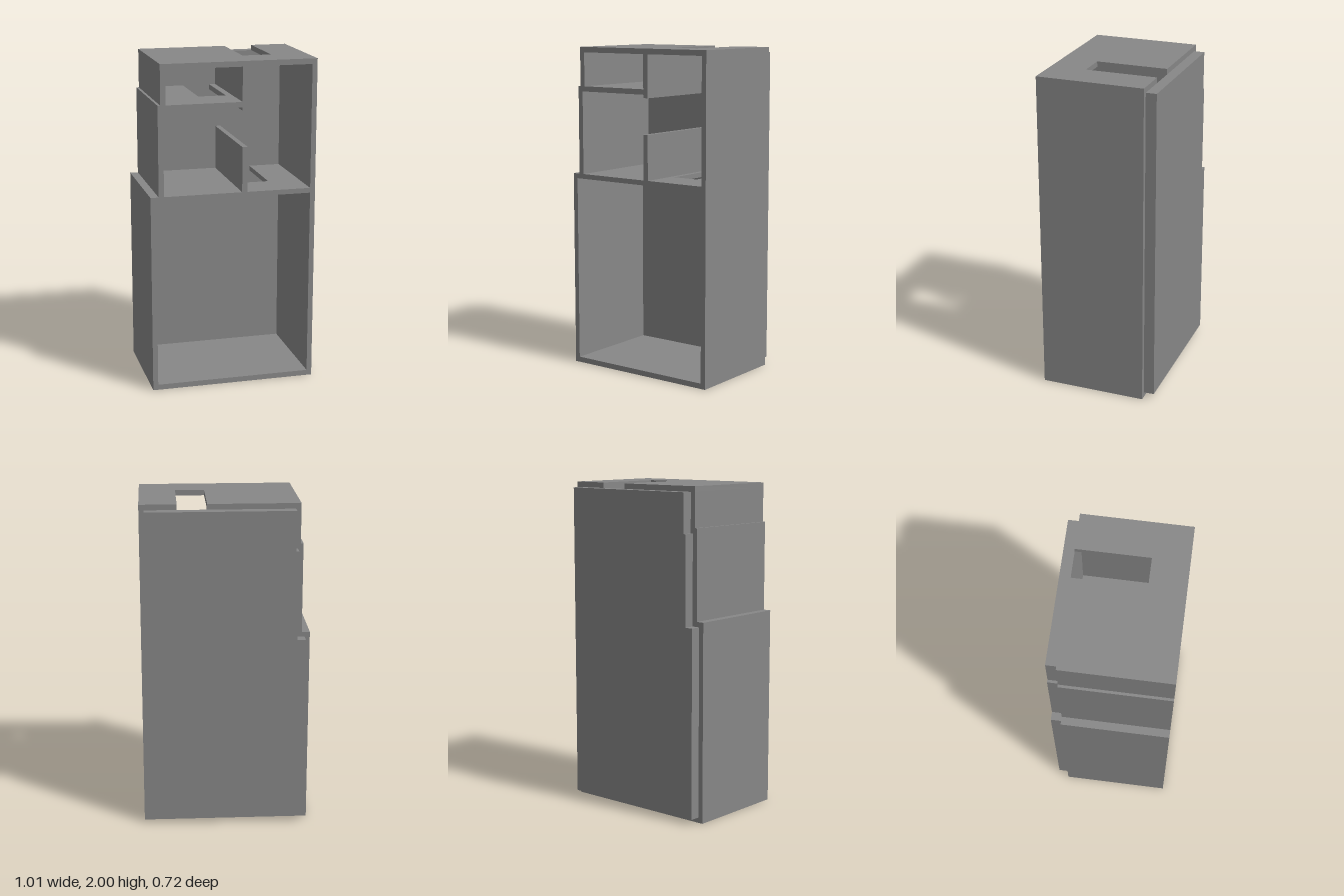
import * as THREE from 'three';

const material = new THREE.MeshStandardMaterial({ color: 0x878787, flatShading: true });
const FRONT = 0.36, REAR = -0.295, BACK = -0.36;

export function createModel() {
  const group = new THREE.Group();
  group.name = 'cabinet';

  const add = (name, geometry) => {
    const mesh = new THREE.Mesh(geometry, material);
    mesh.name = name;
    group.add(mesh);
    return mesh;
  };

  // Upright board running the full depth of the body
  const board = (name, x0, x1, y0, y1) =>
    add(name, new THREE.BoxGeometry(x1 - x0, y1 - y0, FRONT - REAR))
      .position.set((x0 + x1) / 2, (y0 + y1) / 2, (FRONT + REAR) / 2);

  const extrude = (points, depth) =>
    new THREE.ExtrudeGeometry(new THREE.Shape(points.map(([x, y]) => new THREE.Vector2(x, y))),
      { depth, bevelEnabled: false });

  // Horizontal board with a slot cut in from its rear edge
  const slottedBoard = (name, x0, x1, y0, y1, slotLeft, slotRight, slotFront) => {
    const geometry = extrude([
      [x0, -FRONT], [x1, -FRONT], [x1, -REAR], [slotRight, -REAR],
      [slotRight, -slotFront], [slotLeft, -slotFront], [slotLeft, -REAR], [x0, -REAR],
    ], y1 - y0);
    geometry.rotateX(-Math.PI / 2);
    add(name, geometry).position.y = y0;
  };

  // Outer walls, stepping inward on the right-hand side
  board('base', -0.507, 0.507, 0, 0.033);
  board('leftWallLower', 0.476, 0.507, 0.033, 1.185);
  board('leftWallUpper', 0.476, 0.507, 1.215, 1.967);
  board('rightWallLower', -0.507, -0.476, 0.033, 1.185);
  board('rightWallMiddle', -0.458, -0.426, 1.215, 1.728);
  board('rightWallUpper', -0.442, -0.41, 1.76, 1.967);

  // Top and shelves
  slottedBoard('top', -0.442, 0.507, 1.967, 2, 0.108, 0.285, 0.142);
  slottedBoard('middleShelf', -0.507, 0.507, 1.185, 1.215, 0.113, 0.278, 0.134);
  slottedBoard('upperShelf', -0.458, 0.05, 1.728, 1.76, -0.16, 0.01, 0.12);

  // Divider in two pieces with a gap between
  board('upperDivider', 0.05, 0.082, 1.708, 1.967);
  board('lowerDivider', 0.05, 0.082, 1.215, 1.49);

  // Stepped panel closing the rear
  add('backPanel', extrude([
    [-0.476, 0.033], [0.476, 0.033], [0.476, 1.967], [-0.41, 1.967],
    [-0.41, 1.728], [-0.426, 1.728], [-0.426, 1.185], [-0.476, 1.185],
  ], REAR - BACK)).position.z = BACK;

  return group;
}
